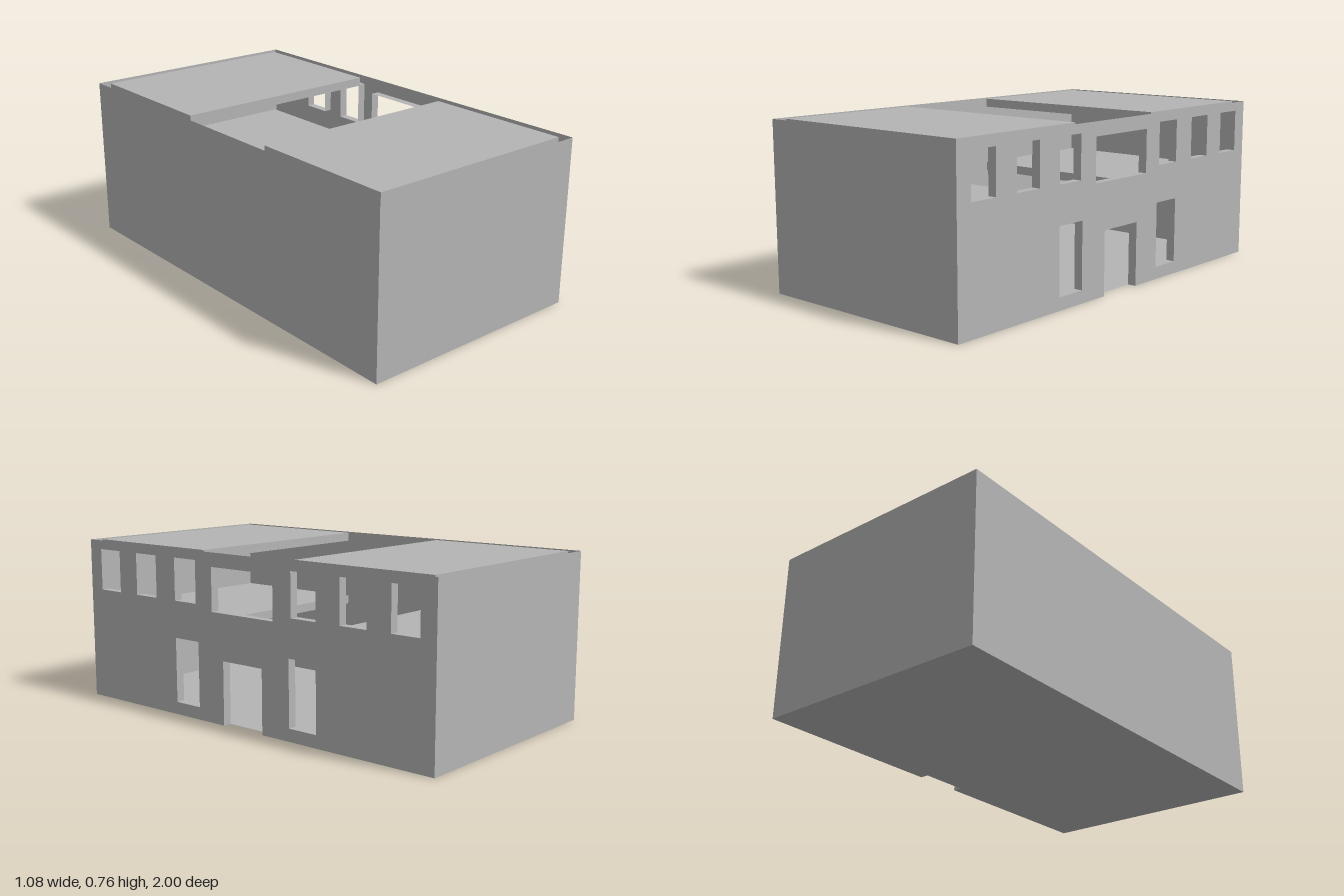
import * as THREE from 'three';

const W = 0.54, L = 1, H = 0.756, T = 0.04; // half width, half length, height, inset depth

export function createModel() {
  const building = new THREE.Group();
  building.name = 'building';
  const grey = new THREE.MeshStandardMaterial({ color: 0xb4b4b4, side: THREE.DoubleSide });
  grey.name = 'plain grey';

  const add = (geometry, name, parent = building) => {
    const mesh = new THREE.Mesh(geometry, grey);
    mesh.name = name;
    parent.add(mesh);
    return mesh;
  };
  const polygon = (points) => new THREE.Shape(points.map(([x, y]) => new THREE.Vector2(x, y)));

  // Openings as [z min, z max, y min, y max]
  const door = [-0.115, 0.115, 0, 0.288];
  const windows = [[-0.18, 0.18, 0.497, 0.693]];
  for (const s of [-1, 1]) {
    const mirrored = (a, b, y0, y1) => windows.push([Math.min(s * a, s * b), Math.max(s * a, s * b), y0, y1]);
    mirrored(0.268, 0.415, 0.057, 0.353);
    for (const a of [0.28, 0.538, 0.79]) mirrored(a, a + 0.135, 0.522, 0.715);
  }

  // Wall with the entrance; shape x runs along -z
  const facade = polygon([[-L, 0], [door[0], 0], [door[0], door[3]], [door[1], door[3]],
    [door[1], 0], [L, 0], [L, H], [-L, H]]);
  for (const [a, b, y0, y1] of windows) {
    facade.holes.push(polygon([[-b, y0], [-b, y1], [-a, y1], [-a, y0]]));
  }
  add(new THREE.ShapeGeometry(facade).rotateY(Math.PI / 2).translate(W, 0, 0), 'entranceWall');

  // Reveals running inward from each opening
  const addReveal = ([a, b, y0, y1], name, hasSill) => {
    const reveal = new THREE.Group();
    reveal.name = name;
    building.add(reveal);
    const x = W - T / 2, zc = (a + b) / 2, yc = (y0 + y1) / 2;
    add(new THREE.PlaneGeometry(T, y1 - y0).translate(x, yc, a), 'jamb', reveal);
    add(new THREE.PlaneGeometry(T, y1 - y0).rotateY(Math.PI).translate(x, yc, b), 'jamb', reveal);
    add(new THREE.PlaneGeometry(T, b - a).rotateX(Math.PI / 2).translate(x, y1, zc), 'lintel', reveal);
    if (hasSill) add(new THREE.PlaneGeometry(T, b - a).rotateX(-Math.PI / 2).translate(x, y0, zc), 'sill', reveal);
  };
  addReveal(door, 'doorReveal', false);
  windows.forEach((w) => addReveal(w, 'windowReveal', true));

  // Three closed walls
  add(new THREE.PlaneGeometry(2 * W, H).translate(0, H / 2, L), 'frontWall');
  add(new THREE.PlaneGeometry(2 * W, H).rotateY(Math.PI).translate(0, H / 2, -L), 'backWall');
  add(new THREE.PlaneGeometry(2 * L, H).rotateY(-Math.PI / 2).translate(-W, H / 2, 0), 'blindWall');

  // Ground floor, notched at the doorway
  const ground = polygon([[-W, -L], [W, -L], [W, door[0]], [W - T, door[0]],
    [W - T, door[1]], [W, door[1]], [W, L], [-W, L]]);
  add(new THREE.ShapeGeometry(ground).rotateX(-Math.PI / 2), 'groundFloor');

  // Upper floor and roof slabs at both ends, leaving the middle open
  const near = 0.268, far = L - T;
  for (const [top, name] of [[0.435, 'upperFloorSlab'], [H, 'roofSlab']]) {
    for (const s of [-1, 1]) {
      add(new THREE.BoxGeometry(2 * (W - T), T, far - near), name)
        .position.set(0, top - T / 2, s * (near + far) / 2);
    }
  }
  return building;
}
